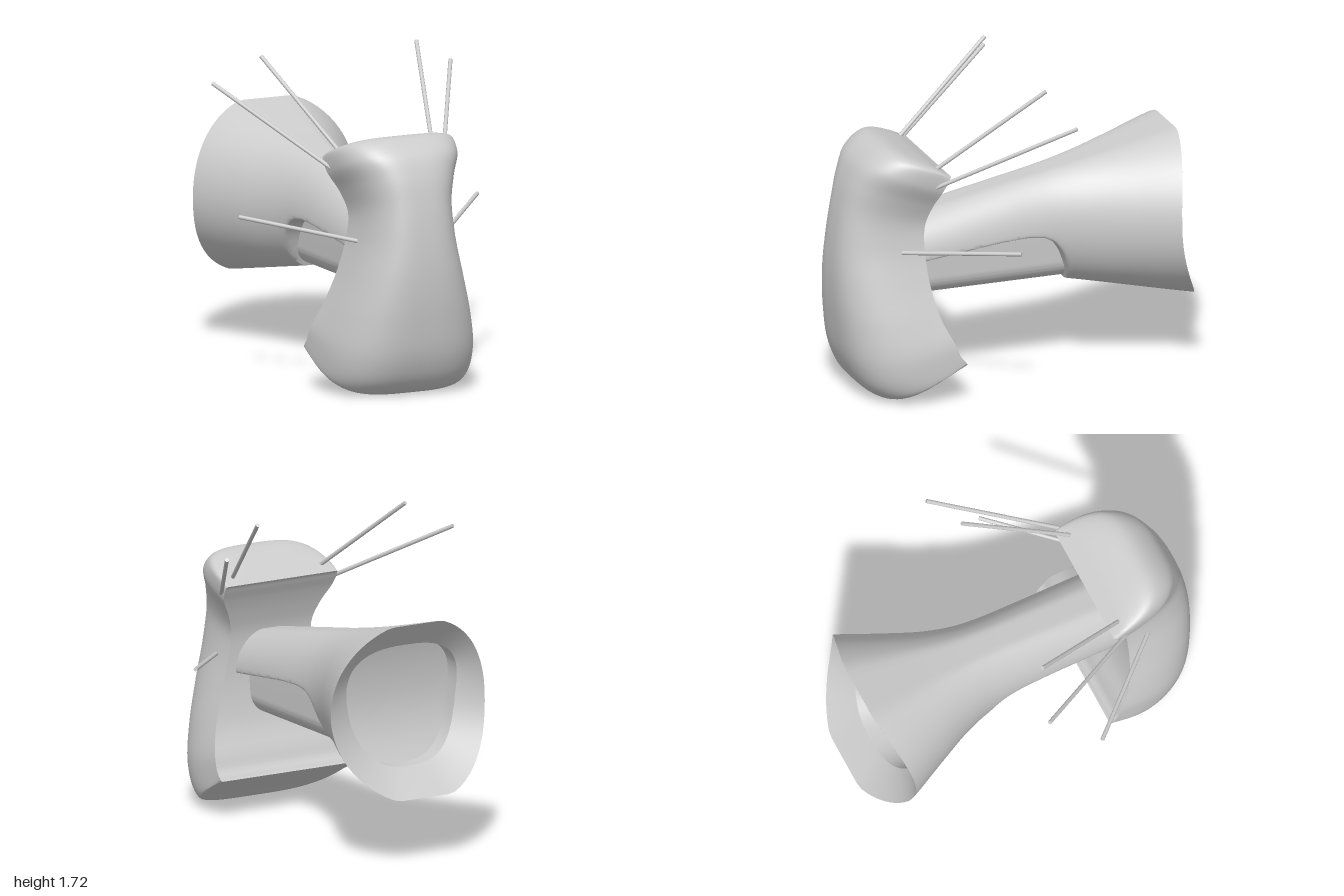
import * as THREE from 'three';
import { toCreasedNormals } from 'three/addons/utils/BufferGeometryUtils.js';

const mat = new THREE.MeshStandardMaterial({ color: 0xcccccc, side: THREE.DoubleSide });
const spow = (c, e) => Math.sign(c) * Math.abs(c) ** e;

// Smooth-shaded grid surface; fn(i, j) returns [x, y, z]
function surface(name, nu, nv, fn, crease = 0.6) {
  const pos = [], idx = [];
  for (let i = 0; i <= nu; i++) for (let j = 0; j <= nv; j++) pos.push(...fn(i, j));
  for (let i = 0; i < nu; i++) for (let j = 0; j < nv; j++) {
    const a = i * (nv + 1) + j, b = a + nv + 1;
    idx.push(a, b, a + 1, b, b + 1, a + 1);
  }
  const g = new THREE.BufferGeometry();
  g.setAttribute('position', new THREE.Float32BufferAttribute(pos, 3));
  g.setIndex(idx);
  const mesh = new THREE.Mesh(toCreasedNormals(g, crease), mat);
  mesh.name = name;
  return mesh;
}

// Interpolation through [key, value] pairs in falling key order
function lookup(table, k) {
  if (k >= table[0][0]) return table[0][1];
  for (let i = 1; i < table.length; i++) {
    const [k0, v0] = table[i - 1], [k1, v1] = table[i];
    if (k >= k1) return v0 + (v1 - v0) * (k - k0) / (k1 - k0);
  }
  return table[table.length - 1][1];
}
function smoothTable(points) {
  const c = new THREE.CatmullRomCurve3(points.map(([k, v]) => new THREE.Vector3(k, v, 0)));
  return c.getPoints(60).map(p => [p.x, p.y]);
}

// Front body: rows of [front y, front z, back y, back z, half width]
const rows = [
  [0.21, 0.37, 0.21, 0.37, 0.415], [0.08, 0.61, 0.215, 0.375, 0.422],
  [0.0, 0.76, 0.23, 0.385, 0.424], [0.06, 0.87, 0.26, 0.41, 0.424],
  [0.2, 0.945, 0.33, 0.44, 0.418], [0.42, 0.985, 0.47, 0.505, 0.373],
  [0.65, 1.0, 0.65, 0.545, 0.312], [0.85, 0.99, 0.83, 0.557, 0.264],
  [1.05, 0.96, 0.96, 0.55, 0.25], [1.2, 0.92, 1.07, 0.52, 0.285],
  [1.31, 0.86, 1.16, 0.485, 0.335], [1.38, 0.74, 1.21, 0.46, 0.347],
  [1.33, 0.57, 1.24, 0.445, 0.347], [1.25, 0.435, 1.25, 0.435, 0.34],
];
function frontBody() {
  const front = new THREE.CatmullRomCurve3(rows.map(r => new THREE.Vector3(0, r[0], r[1])));
  const back = new THREE.CatmullRomCurve3(rows.map(r => new THREE.Vector3(r[4], r[2], r[3])));
  const N = 78, M = 56;
  const g = new THREE.Group();
  g.name = 'frontBody';
  g.add(surface('frontShell', N, M, (i, j) => {
    const P = front.getPoint(i / N), B = back.getPoint(i / N), a = Math.PI * j / M;
    // squarer towards the top and bottom ends
    const n = 3 + 1.2 * Math.abs(2 * i / N - 1) ** 2;
    const d = Math.abs(Math.sin(a)) ** (2 / n);
    return [B.x * spow(Math.cos(a), 2 / n), B.y + (P.y - B.y) * d, B.z + (P.z - B.z) * d];
  }, 0.9));
  g.add(surface('concaveBack', N, 8, (i, j) => {
    const B = back.getPoint(i / N);
    return [B.x * (j / 4 - 1), B.y, B.z];
  }));
  return g;
}

// Flared neck: outlines along z
const topLine = smoothTable([[0.7, 0.93], [0.55, 0.96], [0.2, 1.03], [0, 1.07], [-0.2, 1.11], [-0.5, 1.18], [-0.91, 1.29], [-1, 1.31]]);
const bottomLine = [[0.7, 0.52], [-0.29, 0.5], [-1, 0.36]];
const halfWidth = smoothTable([[0.7, 0.215], [0.4, 0.217], [0.1, 0.218], [-0.1, 0.222], [-0.25, 0.24], [-0.4, 0.285], [-0.6, 0.375], [-0.82, 0.48], [-1, 0.55]]);
// underside of the upper half in front of the flare
const underside = [[0.7, 0.715], [0.55, 0.735], [0.1, 0.79], [-0.05, 0.798], [-0.14, 0.788], [-0.2, 0.755], [-0.245, 0.69], [-0.275, 0.61], [-0.295, 0.52], [-0.31, 0.2]];
// concave end surface
const endZ = y => -0.82 - (y > 0.85 ? 0.465 : 0.75) * (y - 0.85) ** 2;

// rounded section with a flattened top and bottom
function outline(a, z) {
  const t = lookup(topLine, z), b = lookup(bottomLine, z), w = lookup(halfWidth, z);
  const s = THREE.MathUtils.clamp(1.05 * Math.sin(a), -1, 1);
  return [w * Math.cos(a), (t + b) / 2 + (t - b) / 2 * s];
}

function flaredNeck() {
  const N = 120, M = 72, z0 = 0.7, zs = -0.4, dish = 0.065;
  const ends = [];
  for (let j = 0; j <= M; j++) {
    let z = -0.85;
    for (let k = 0; k < 8; k++) z = endZ(outline(2 * Math.PI * j / M, z)[1]);
    ends.push(z);
  }
  const body = (i, j) => {
    const s = z0 + (-1 - z0) * i / N;
    const z = s > zs ? s : zs + (s - zs) / (-1 - zs) * (ends[j] - zs);
    const [x, y] = outline(2 * Math.PI * j / M, z), u = lookup(underside, z);
    return [x, (y + u + Math.hypot(y - u, 0.035)) / 2, z];
  };
  // dished end face, then a shallow pocket, narrower below, with a matching floor
  const hole = j => {
    const a = 2 * Math.PI * j / M, y = 0.325 * spow(Math.sin(a), 0.75);
    return [0.335 * spow(Math.cos(a), 0.75) * (1 + 0.45 * y), 0.83 + y];
  };
  const rim = (i, j) => {
    const o = body(N, j), [hx, hy] = hole(j), k = i / 8;
    const y = o[1] + (hy - o[1]) * k;
    return [o[0] + (hx - o[0]) * k, y, endZ(y) + dish * k];
  };
  const pocket = (i, j) => {
    const [x, y] = hole(j);
    if (i < 1) return [x, y, endZ(y) + dish];
    const k = 1 - (i - 1) / 8, fy = 0.83 + (y - 0.83) * k;
    return [x * k, fy, endZ(fy) + dish + 0.09];
  };
  const g = new THREE.Group();
  g.name = 'flaredNeck';
  g.add(surface('neckBody', N, M, body, 0.8));
  g.add(surface('endRim', 8, M, rim));
  g.add(surface('endPocket', 9, M, pocket));
  return g;
}

// Narrow bar with a rounded underside beneath the neck
function lowerBar() {
  const w = 0.135, r = 0.11, s = new THREE.Shape();
  s.moveTo(-w, 0.82);
  s.lineTo(-w, 0.51 + r);
  s.absarc(-w + r, 0.51 + r, r, Math.PI, 1.5 * Math.PI);
  s.absarc(w - r, 0.51 + r, r, 1.5 * Math.PI, 2 * Math.PI);
  s.lineTo(w, 0.82);
  const geo = new THREE.ExtrudeGeometry(s, { depth: 1.05, bevelEnabled: false, curveSegments: 12 });
  geo.translate(0, 0, -0.4);
  const mesh = new THREE.Mesh(toCreasedNormals(geo, 0.6), mat);
  mesh.name = 'lowerBar';
  return mesh;
}

function rod(name, from, to) {
  const a = new THREE.Vector3(...from), b = new THREE.Vector3(...to), d = b.clone().sub(a);
  const mesh = new THREE.Mesh(new THREE.CylinderGeometry(0.011, 0.011, d.length(), 12), mat);
  mesh.position.copy(a).add(b).multiplyScalar(0.5);
  mesh.quaternion.setFromUnitVectors(new THREE.Vector3(0, 1, 0), d.normalize());
  mesh.name = name;
  return mesh;
}

export function createModel() {
  const model = new THREE.Group();
  model.name = 'model';
  model.add(frontBody(), flaredNeck(), lowerBar());
  // three thin rods on each side
  for (const [side, m] of [['left', 1], ['right', -1]]) {
    model.add(
      rod(side + 'TopRod', [0.27 * m, 1.27, 0.51], [0.46 * m, 1.71, -0.055]),
      rod(side + 'UpperRod', [0.33 * m, 1.195, 0.52], [0.705 * m, 1.57, -0.14]),
      rod(side + 'LowerRod', [0.255 * m, 0.825, 0.685], [0.705 * m, 0.905, 0.175]));
  }
  return model;
}
